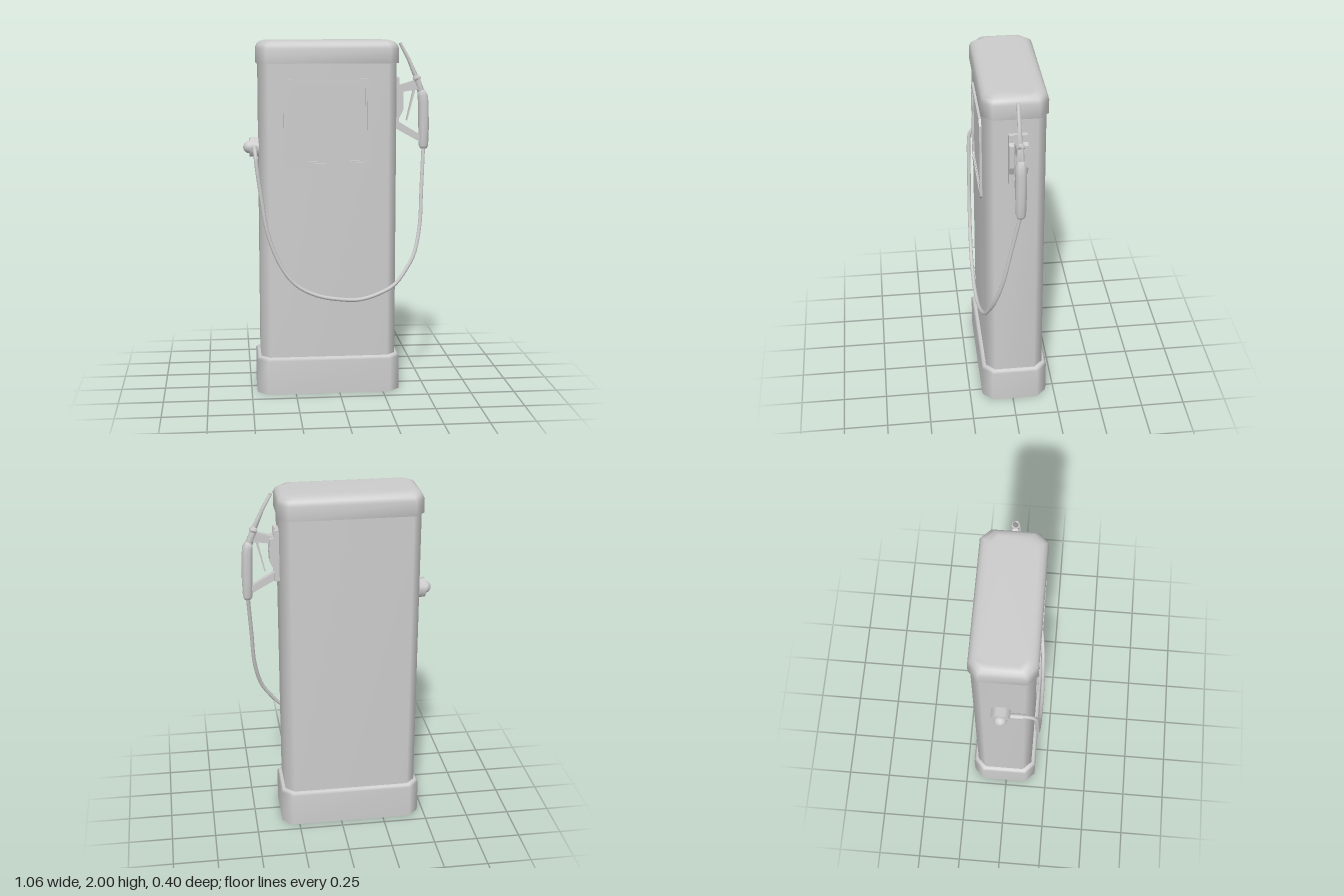
import * as THREE from 'three';

const CX = -0.06, CZ = -0.0125, NZ = -0.019; // cabinet centre, nozzle plane
const material = new THREE.MeshStandardMaterial({ color: 0xcccccc, side: THREE.DoubleSide });

function part(name, geometry, x = 0, y = 0, z = 0) {
  const mesh = new THREE.Mesh(geometry, material);
  mesh.name = name;
  mesh.position.set(x, y, z);
  return mesh;
}

// Rectangle with cut corners, as 2D points
function cutRect(w, h, c) {
  return [[w, -h + c], [w, h - c], [w - c, h], [-w + c, h], [-w, h - c], [-w, -h + c], [-w + c, -h], [w - c, -h]];
}

// Skin a list of equal-sized rings of Vector3, optionally closing the ends
function loft(rings, capStart, capEnd) {
  const n = rings[0].length, pos = [], index = [];
  rings.forEach(r => r.forEach(p => pos.push(p.x, p.y, p.z)));
  for (let j = 0; j < rings.length - 1; j++) {
    for (let i = 0; i < n; i++) {
      const a = j * n + i, b = j * n + (i + 1) % n;
      index.push(a, a + n, b, b, a + n, b + n);
    }
  }
  const close = (start, flip) => {
    for (let i = 1; i < n - 1; i++) {
      index.push(start, start + (flip ? i : i + 1), start + (flip ? i + 1 : i));
    }
  };
  if (capStart) close(0, true);
  if (capEnd) close((rings.length - 1) * n, false);
  const g = new THREE.BufferGeometry();
  g.setAttribute('position', new THREE.Float32BufferAttribute(pos, 3));
  g.setIndex(index);
  g.computeVertexNormals();
  return g;
}

// Stack of cut-corner rings: [y, halfWidth, halfDepth, corner]
function cabinet(levels, capEnd) {
  return loft(levels.map(([y, w, d, c]) =>
    cutRect(w, d, c).map(([x, z]) => new THREE.Vector3(CX + x, y, CZ + z))), false, capEnd);
}

// Round solid along a path in the XY plane: [x, y, radius]
function spindle(stations, sides) {
  const rings = stations.map(([x, y, r], i) => {
    const a = stations[Math.max(i - 1, 0)], b = stations[Math.min(i + 1, stations.length - 1)];
    const t = new THREE.Vector2(b[0] - a[0], b[1] - a[1]).normalize();
    return Array.from({ length: sides }, (_, k) => {
      const u = ((k + 0.5) / sides) * Math.PI * 2, c = Math.cos(u) * r;
      return new THREE.Vector3(x + t.y * c, y - t.x * c, NZ + Math.sin(u) * r);
    });
  });
  return loft(rings, true, true);
}

function extrude(points, depth, hole) {
  const toV = p => new THREE.Vector2(p[0], p[1]);
  const shape = new THREE.Shape(points.map(toV));
  if (hole) shape.holes.push(new THREE.Path(hole.map(toV)));
  return new THREE.ExtrudeGeometry(shape, { depth, bevelEnabled: false });
}

export function createModel() {
  const model = new THREE.Group();
  model.name = 'fuelPump';

  // Cabinet: hollow plinth, tall body and rounded cap
  model.add(part('base', cabinet([
    [0, 0.408, 0.19, 0.058], [0.195, 0.408, 0.19, 0.058],
    [0.208, 0.398, 0.18, 0.056], [0.212, 0.382, 0.163, 0.052],
  ])));
  model.add(part('body', cabinet([[0.205, 0.384, 0.165, 0.05], [1.885, 0.384, 0.165, 0.05]])));
  model.add(part('cap', cabinet([
    [1.875, 0.383, 0.164, 0.05], [1.875, 0.396, 0.176, 0.053], [1.955, 0.396, 0.176, 0.053],
    [1.978, 0.387, 0.167, 0.053], [1.993, 0.37, 0.15, 0.051], [2, 0.345, 0.125, 0.047],
  ], true)));

  // Display window with its raised frame
  const display = new THREE.Group();
  display.name = 'display';
  display.position.set(-0.063, 1.545, 0);
  display.add(part('displayFrame', extrude(cutRect(0.246, 0.246, 0.03), 0.026, cutRect(0.219, 0.219, 0.018)), 0, 0, 0.139));
  display.add(part('displayInnerRim', extrude(cutRect(0.221, 0.221, 0.018), 0.02, cutRect(0.208, 0.208, 0.012)), 0, 0, 0.139));
  display.add(part('displayScreen', new THREE.BoxGeometry(0.42, 0.42, 0.01), 0, 0, 0.149));
  model.add(display);

  // Hose outlet on the side: collar, dome and coupling
  const outlet = new THREE.Group();
  outlet.name = 'hoseOutlet';
  const collar = new THREE.CylinderGeometry(0.056, 0.056, 0.06, 8).rotateY(Math.PI / 8).rotateZ(Math.PI / 2);
  outlet.add(part('outletCollar', collar.toNonIndexed(), -0.466, 1.4, -0.023));
  const dome = new THREE.SphereGeometry(0.036, 16, 8, 0, Math.PI * 2, 0, Math.PI / 2).rotateZ(Math.PI / 2);
  outlet.add(part('outletDome', dome, -0.495, 1.4, -0.023));
  const coupling = new THREE.CylinderGeometry(0.015, 0.015, 0.1, 10).rotateX(Math.PI / 2);
  outlet.add(part('outletCoupling', coupling, -0.47, 1.4, 0.045));
  model.add(outlet);

  // Hanging hose
  const hosePath = new THREE.CatmullRomCurve3([
    [-0.47, 1.4, 0.08], [-0.47, 1.405, 0.125], [-0.467, 1.37, 0.163], [-0.46, 1.3, 0.172],
    [-0.44, 1.155, 0.175], [-0.4, 0.92, 0.18], [-0.32, 0.73, 0.184], [-0.24, 0.635, 0.187],
    [-0.125, 0.577, 0.188], [0, 0.553, 0.187], [0.11, 0.548, 0.182], [0.22, 0.577, 0.173],
    [0.315, 0.626, 0.158], [0.39, 0.72, 0.132], [0.43, 0.79, 0.113], [0.468, 0.945, 0.072],
    [0.483, 1.155, 0.03], [0.5, 1.4, -0.019],
  ].map(p => new THREE.Vector3(...p)));
  model.add(part('hose', new THREE.TubeGeometry(hosePath, 64, 0.011, 8)));

  // Nozzle holder: back plate and two prongs
  const holder = new THREE.Group();
  holder.name = 'nozzleHolder';
  holder.add(part('holderPlate', new THREE.BoxGeometry(0.025, 0.29, 0.09), 0.332, 1.645, -0.017));
  const prong = [[0.325, 1.5], [0.352, 1.5], [0.352, 1.56], [0.376, 1.61], [0.376, 1.74], [0.352, 1.75], [0.352, 1.79], [0.325, 1.79]];
  for (const z of [-0.073, 0.001]) holder.add(part('holderProng', extrude(prong, 0.026), 0, 0, z));
  model.add(holder);

  // Nozzle: grip, neck, spout, guard and trigger
  const nozzle = new THREE.Group();
  nozzle.name = 'nozzle';
  nozzle.add(part('grip', spindle([
    [0.5, 1.383, 0.019], [0.5, 1.4, 0.028], [0.5, 1.5, 0.031], [0.497, 1.64, 0.031], [0.492, 1.685, 0.03], [0.483, 1.715, 0.022],
  ], 8)));
  nozzle.add(part('neck', spindle([[0.488, 1.69, 0.021], [0.455, 1.785, 0.019], [0.45, 1.8, 0.017]], 8)));
  nozzle.add(part('neckRing', spindle([[0.461, 1.775, 0.023], [0.455, 1.79, 0.023]], 8)));
  nozzle.add(part('spout', spindle([[0.453, 1.79, 0.014], [0.41, 1.89, 0.011], [0.36, 1.982, 0.009]], 8)));
  const guard = [[0.34, 1.74], [0.44, 1.772], [0.465, 1.72], [0.38, 1.708], [0.376, 1.62], [0.35, 1.54],
    [0.475, 1.465], [0.475, 1.422], [0.335, 1.5], [0.335, 1.56], [0.35, 1.64]];
  nozzle.add(part('guard', extrude(guard, 0.032), 0, 0, NZ - 0.016));
  const trigger = [[0.436, 1.72], [0.448, 1.715], [0.404, 1.545], [0.397, 1.545]];
  nozzle.add(part('trigger', extrude(trigger, 0.022), 0, 0, NZ - 0.011));
  model.add(nozzle);

  return model;
}
